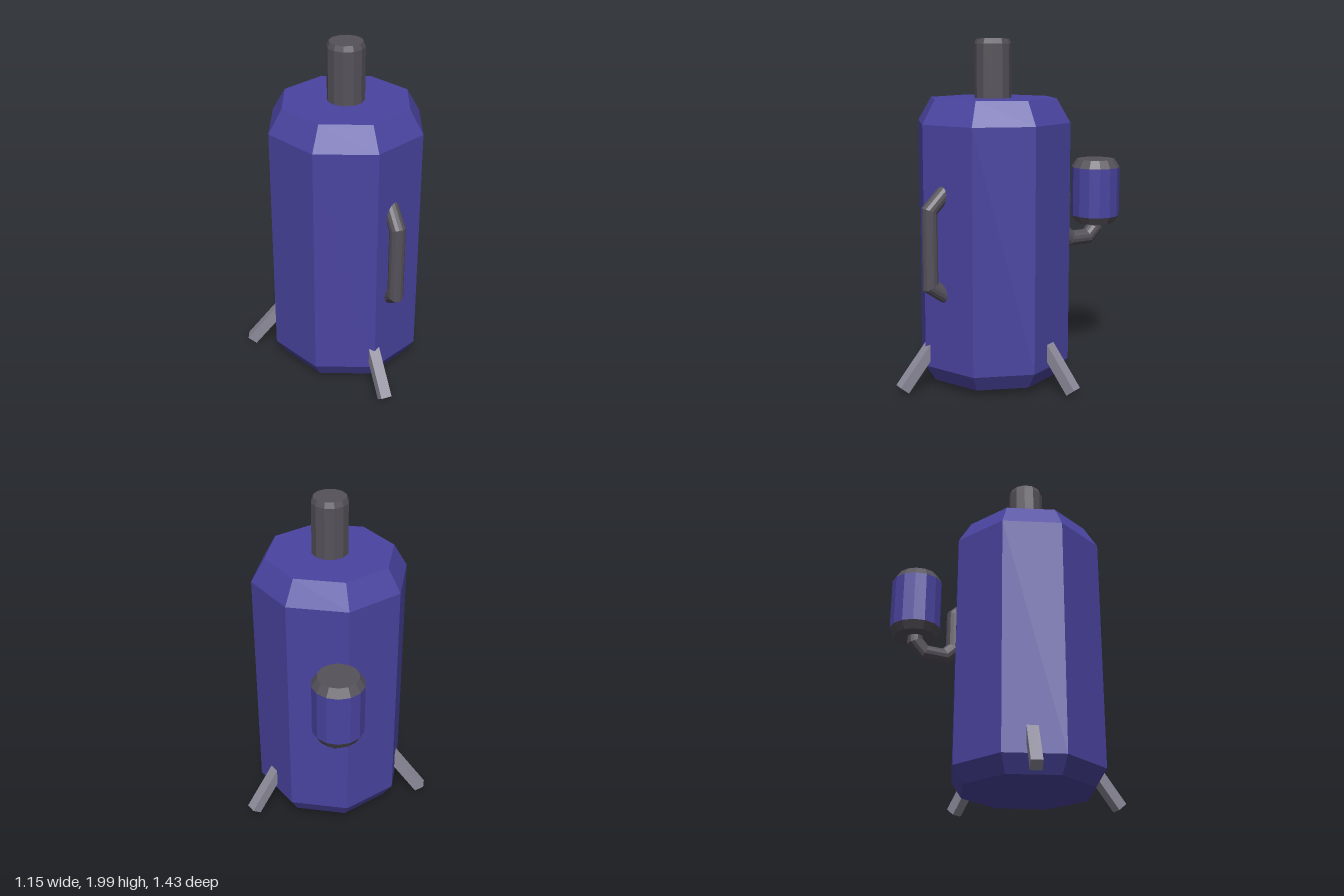
import * as THREE from 'three';

const paint = (color) => new THREE.MeshStandardMaterial({ color, flatShading: true });

// Faceted turned shape from [radius, height] pairs, listed bottom to top
function turned(name, profile, sides, material, x, z, turn = 0) {
  const points = profile.map(([r, y]) => new THREE.Vector2(r, y));
  const mesh = new THREE.Mesh(new THREE.LatheGeometry(points, sides, turn), material);
  mesh.name = name;
  mesh.position.set(x, 0, z);
  return mesh;
}

// Pipe with mitred bends along a path of [z, y] points in the plane x = const
function pipe(name, path, radius, x, material, sides = 14) {
  const pts = path.map(([z, y]) => new THREE.Vector3(x, y, z));
  const positions = [], index = [];
  const across = new THREE.Vector3(1, 0, 0);
  pts.forEach((p, i) => {
    const before = p.clone().sub(pts[Math.max(i - 1, 0)]).normalize();
    const after = pts[Math.min(i + 1, pts.length - 1)].clone().sub(p).normalize();
    const tangent = before.clone().add(after).normalize();
    const stretch = 1 / Math.max(tangent.dot(before), tangent.dot(after));
    const normal = tangent.clone().cross(across);
    for (let j = 0; j < sides; j++) {
      const a = (j / sides) * Math.PI * 2;
      const v = p.clone().addScaledVector(across, radius * Math.cos(a))
        .addScaledVector(normal, radius * stretch * Math.sin(a));
      positions.push(v.x, v.y, v.z);
      if (i < pts.length - 1) {
        const k = (j + 1) % sides;
        const [A, B, C, D] = [i * sides + j, i * sides + k, (i + 1) * sides + k, (i + 1) * sides + j];
        index.push(A, B, C, A, C, D);
      }
    }
  });
  const geometry = new THREE.BufferGeometry();
  geometry.setAttribute('position', new THREE.Float32BufferAttribute(positions, 3));
  geometry.setIndex(index);
  geometry.computeVertexNormals();
  const mesh = new THREE.Mesh(geometry, material);
  mesh.name = name;
  return mesh;
}

export function createModel() {
  const group = new THREE.Group();
  const indigo = paint(0x4a44a0), dark = paint(0x55515a), steel = paint(0x8c8a99);
  const axisZ = 0.088, sideX = 0.11, canZ = -0.573;

  // Octagonal tank with chamfered ends, and the stack on top
  group.add(turned('tank', [[0, 0.043], [0.39, 0.043], [0.453, 0.14], [0.453, 1.53], [0.373, 1.666], [0, 1.666]],
    8, indigo, 0, axisZ));
  group.add(turned('stack', [[0.106, 1.65], [0.106, 1.97], [0.094, 2], [0, 2]], 12, dark, 0, axisZ));

  // Front handle, ends sunk into the tank
  group.add(pipe('handle', [[0.45, 1.176], [0.56, 1.066], [0.56, 0.64], [0.44, 0.555]], 0.045, sideX, dark));

  // Rear pipe carrying the small canister
  group.add(pipe('canisterPipe', [[-0.24, 1.165], [-0.332, 1.073], [-0.332, 0.865], [-0.387, 0.81],
    [-0.515, 0.81], [-0.57, 0.865], [-0.57, 0.92]], 0.045, sideX, dark));
  const canister = new THREE.Group();
  canister.name = 'canister';
  const sides = 14, turn = Math.PI / sides;
  canister.add(
    turned('canisterBase', [[0, 0.895], [0.118, 0.895], [0.146, 0.94]], sides, dark, sideX, canZ, turn),
    turned('canisterBody', [[0.146, 0.94], [0.146, 1.235]], sides, indigo, sideX, canZ, turn),
    turned('canisterCap', [[0.146, 1.235], [0.115, 1.283], [0, 1.283]], sides, dark, sideX, canZ, turn));
  group.add(canister);

  // Three splayed square legs: name, foot x, foot z, heading and slope in degrees
  const length = 0.4;
  [['frontLeg', 0, 0.692, 0, 50], ['leftLeg', 0.54, -0.117, 112, 52], ['rightLeg', -0.538, -0.144, -112, 52]]
    .forEach(([name, x, z, heading, degrees]) => {
      const slope = THREE.MathUtils.degToRad(degrees);
      const leg = new THREE.Group();
      leg.name = name;
      const bar = new THREE.Mesh(new THREE.BoxGeometry(0.064, 0.064, length), steel);
      bar.name = name + 'Bar';
      bar.rotation.x = slope;
      bar.position.set(0, 0.026 + Math.sin(slope) * length / 2, -Math.cos(slope) * length / 2);
      leg.add(bar);
      leg.position.set(x, 0, z);
      leg.rotation.y = THREE.MathUtils.degToRad(heading);
      group.add(leg);
    });

  return group;
}
